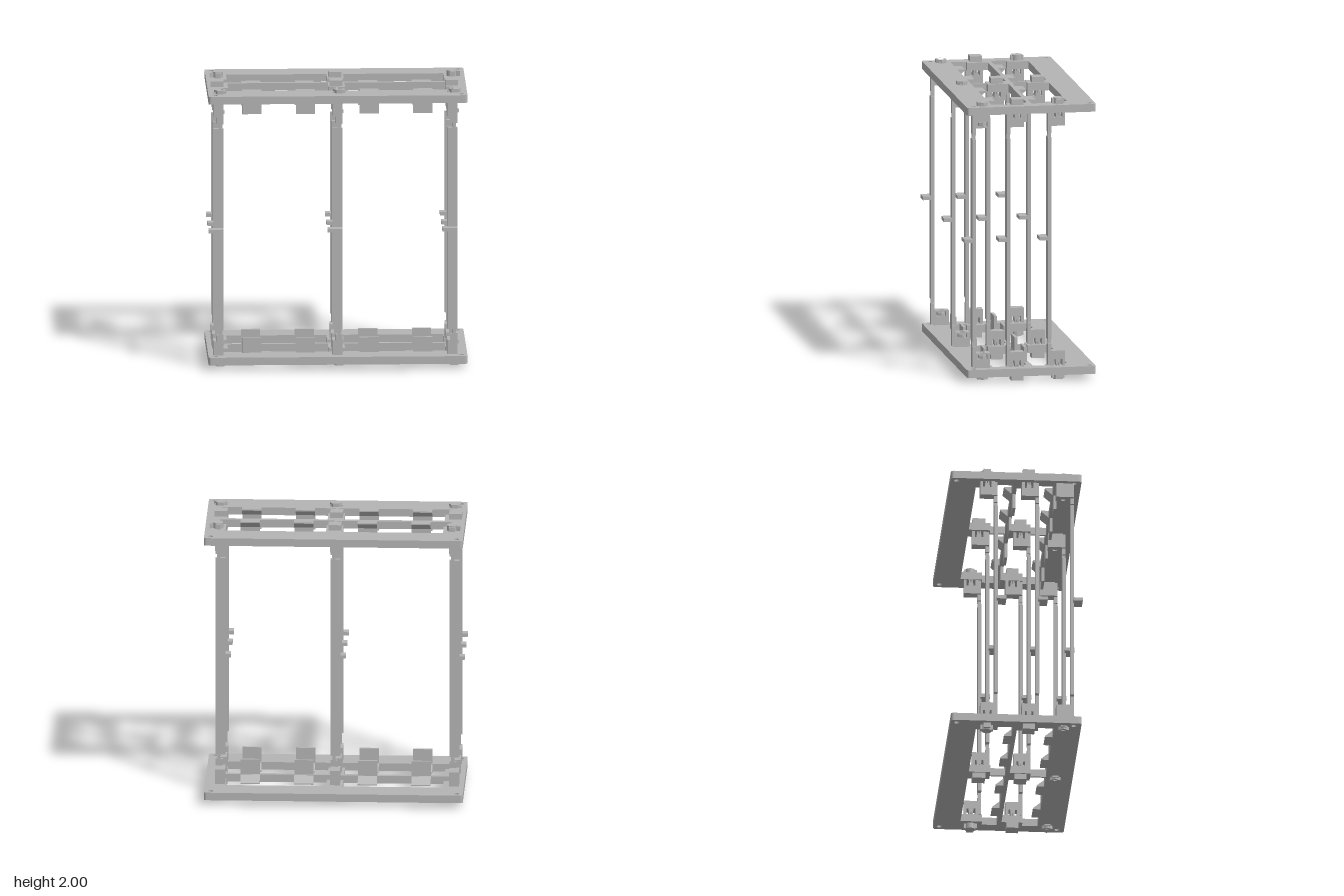
import * as THREE from 'three';

const grey = new THREE.MeshStandardMaterial({ color: 0xb4b4b4 });
grey.name = 'plain grey';

function mesh(name, geometry, parent) {
  const m = new THREE.Mesh(geometry, grey);
  m.name = name;
  parent.add(m);
  return m;
}

// Box given by its limits
function box(name, parent, x0, x1, y0, y1, z0, z1) {
  const m = mesh(name, new THREE.BoxGeometry(x1 - x0, y1 - y0, z1 - z0), parent);
  m.position.set((x0 + x1) / 2, (y0 + y1) / 2, (z0 + z1) / 2);
  return m;
}

const points = (list, s = 1) => list.map(([a, b]) => new THREE.Vector2(a, b * s));
const circle = (x, z, r) => new THREE.Path().absarc(x, -z, r, 0, Math.PI * 2, true);

// Flat slab: outline in x,z raised from y0 to y1
function slab(name, parent, shape, holes, y0, y1) {
  shape.holes.push(...holes);
  const g = new THREE.ExtrudeGeometry(shape, { depth: y1 - y0, bevelEnabled: false, curveSegments: 8 });
  g.rotateX(-Math.PI / 2).translate(0, y0, 0);
  return mesh(name, g, parent);
}
const planShape = (list) => new THREE.Shape(points(list, -1));
const planRect = (x0, x1, z0, z1) => planShape([[x0, z1], [x1, z1], [x1, z0], [x0, z0]]);

// Profile in z,y extruded along x
function sideProfile(name, parent, list, x0, x1) {
  const shape = new THREE.Shape(points(list.map(([z, y]) => [-z, y])));
  const g = new THREE.ExtrudeGeometry(shape, { depth: x1 - x0, bevelEnabled: false });
  g.rotateY(Math.PI / 2).translate(x0, 0, 0);
  return mesh(name, g, parent);
}

const postX = [-0.87, -0.038, 0.765];
const postW = 0.07;
const boltX = [-0.82, 0.012, 0.818];
const rowZ = [0.405, 0.16, -0.13]; // front face of each row of posts

function roundedPlate() {
  const s = new THREE.Shape(), x = 0.905, a = -0.455, b = 0.46, r = 0.022;
  s.moveTo(-x + r, a).lineTo(x - r, a).quadraticCurveTo(x, a, x, a + r);
  s.lineTo(x, b - r).quadraticCurveTo(x, b, x - r, b);
  s.lineTo(-x + r, b).quadraticCurveTo(-x, b, -x, b - r);
  s.lineTo(-x, a + r).quadraticCurveTo(-x, a, -x + r, a);
  return s;
}

// Upper end frame with all its fittings; the lower one is its mirror image
function endFrame(name) {
  const g = new THREE.Group();
  g.name = name;

  // Plate with four stepped windows, corner holes and bolt holes
  const holes = [];
  for (const s of [-1, 1]) {
    for (const [z0, z1, z2] of [[-0.277, -0.126, -0.02], [0.01, 0.157, 0.267]]) {
      holes.push(new THREE.Path(points([
        [s * 0.76, z0], [s * 0.058, z0], [s * 0.058, z1], [s * 0.008, z1],
        [s * 0.008, z2], [s * 0.81, z2], [s * 0.81, z1], [s * 0.76, z1],
      ], -1)));
    }
    holes.push(circle(s * 0.86, -0.417, 0.018), circle(s * 0.86, 0.405, 0.018));
  }
  for (const x of boltX) holes.push(circle(x, 0.333, 0.02));
  slab('plate', g, roundedPlate(), holes, 1.905, 1.96);

  // Hanging flaps with sloped teeth behind them
  for (const x of [-0.665, -0.29, 0.155, 0.53]) {
    for (const z of [-0.02, 0.267]) {
      box('flap', g, x, x + 0.135, 1.8, 1.906, z + 0.008, z + 0.028);
      sideProfile('slopedTooth', g, [[z + 0.003, 1.905], [z + 0.003, 1.96], [z - 0.053, 1.96], [z - 0.053, 1.952]], x, x + 0.135);
    }
  }

  postX.forEach((x0, i) => {
    const x1 = x0 + postW, bx = boltX[i];

    // Front socket: bored for a bolt, with a side pocket holding a nut
    const bore = () => [circle(bx, 0.333, 0.018)];
    slab('socketFloor', g, planRect(x0, x1, 0.28, 0.385), bore(), 1.8, 1.81);
    slab('socketPocket', g, planShape([
      [x0, 0.28], [x1, 0.28], [x1, 0.3], [x0 + 0.012, 0.3],
      [x0 + 0.012, 0.368], [x1, 0.368], [x1, 0.385], [x0, 0.385],
    ]), [], 1.81, 1.842);
    slab('socketBody', g, planRect(x0, x1, 0.28, 0.385), bore(), 1.842, 1.906);
    const hex = (r) => planShape([0, 1, 2, 3, 4, 5].map((k) => [
      bx + r * Math.cos(k * Math.PI / 3), 0.333 + r * Math.sin(k * Math.PI / 3)]));
    slab('innerNut', g, hex(0.031), [circle(bx, 0.333, 0.018)], 1.814, 1.838);

    // Nut and its lugs on the outer face of the plate
    slab('outerNut', g, hex(0.043), [circle(bx, 0.333, 0.026)], 1.96, 1.985);
    slab('nutSeat', g, planRect(bx - 0.048, bx + 0.04, 0.313, 0.353), [circle(bx, 0.333, 0.02)], 1.96, 1.971);

    // Snap sockets of the middle and back rows, slit to form fingers
    for (const z of [0.16, -0.13]) {
      const c = z - (z > 0 ? 0.071 : 0.073), a = z - 0.122, b = z - 0.02;
      sideProfile('snapSocket', g, [
        [b, 1.8], [b, 1.906], [c + 0.03, 1.906], [c + 0.03, 1.86], [c + 0.018, 1.86], [c + 0.012, 1.906],
        [c + 0.004, 1.906], [c, 1.88], [c - 0.004, 1.906],
        [c - 0.012, 1.906], [c - 0.018, 1.86], [c - 0.03, 1.86], [c - 0.03, 1.906], [a, 1.906], [a, 1.8],
      ], x0, x1);
    }

    // Outer caps of the snap sockets
    const cx = [-0.835, -0.003, 0.805][i];
    box('snapCap', g, cx - 0.045, cx + 0.045, 1.955, 2, 0.045, 0.13);
    if (i === 1) {
      box('snapCap', g, cx - 0.045, cx + 0.045, 1.955, 2, -0.25, -0.16);
    } else {
      const k = i === 0 ? 1 : -1;
      const ox = i === 0 ? -0.82 : 0.815;
      const head = mesh('roundCap', new THREE.CylinderGeometry(0.036, 0.036, 0.045, 20), g);
      head.position.set(ox, 1.9775, -0.205);
      box('capTab', g, ox - 0.018, ox + 0.018, 1.955, 1.995, -0.25, -0.16);
      const stem = [[-0.058, -0.23], [-0.025, -0.22], [-0.025, -0.19], [-0.058, -0.18]];
      slab('capStem', g, planShape(stem.map(([x, z]) => [ox + k * x, z])), [], 1.955, 1.995);
    }
  });
  return g;
}

// Upright strip with notched ends and a small stop tab at mid height
function post(x0, zFront) {
  const g = new THREE.Group();
  g.name = 'post';
  const x1 = x0 + postW;
  const lower = [
    [x0 + 0.02, 0.1], [x0 + 0.02, 0.245], [x0 + 0.035, 0.245], [x0 + 0.035, 0.28],
    [x0, 0.28], [x0, 0.32],
  ];
  const right = [[x1, 0.28], [x1 - 0.013, 0.28], [x1 - 0.013, 0.25], [x1, 0.25], [x1, 0.1]];
  const flip = (list) => list.map(([x, y]) => [x, 2 - y]).reverse();
  const outline = [...lower, ...flip(lower), ...flip(right), ...right];
  const geo = new THREE.ExtrudeGeometry(new THREE.Shape(points(outline)), { depth: 0.025, bevelEnabled: false });
  geo.translate(0, 0, zFront - 0.025);
  mesh('strip', geo, g);
  for (const y of [0.1, 1.8]) box('endPad', g, x0, x0 + 0.021, y, y + 0.1, zFront - 0.025, zFront - 0.003);
  box('stopTab', g, x0 - 0.036, x0 + postW, 0.987, 1.012, zFront - 0.008, zFront + 0.058);
  return g;
}

export function createModel() {
  const model = new THREE.Group();
  model.name = 'rackFrame';
  model.add(endFrame('upperFrame'));
  const lower = endFrame('lowerFrame');
  lower.scale.y = -1;
  lower.position.y = 2;
  model.add(lower);
  for (const x of postX) for (const z of rowZ) model.add(post(x, z));
  return model;
}
